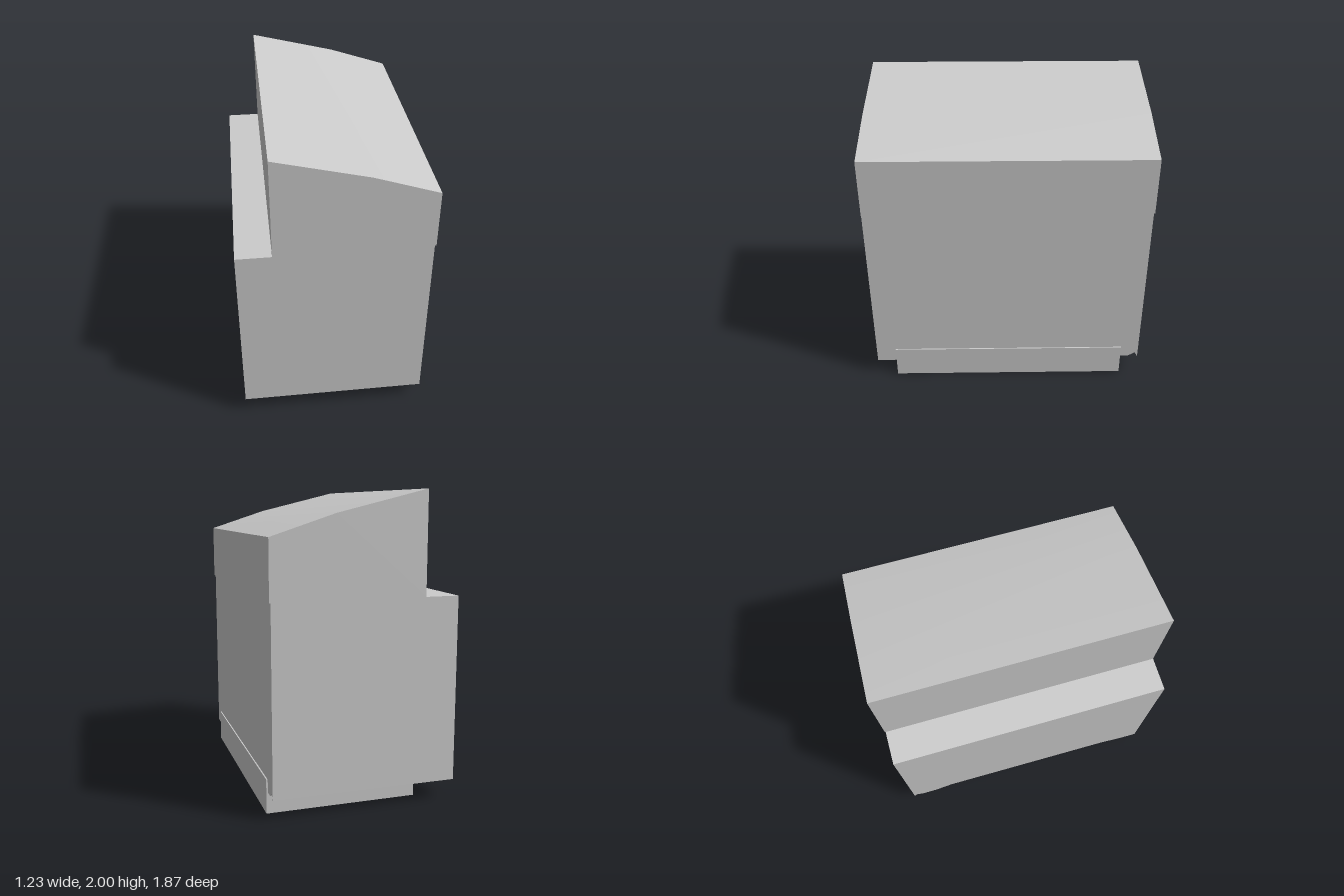
import * as THREE from 'three';
import { toCreasedNormals } from 'three/addons/utils/BufferGeometryUtils.js';

const grey = new THREE.MeshStandardMaterial({ color: 0xcccccc });

function prism(points, depth) {
  const shape = new THREE.Shape(points.map(([x, y]) => new THREE.Vector2(x, y)));
  return new THREE.ExtrudeGeometry(shape, { depth, bevelEnabled: false });
}

function addPart(group, name, geometry) {
  const mesh = new THREE.Mesh(toCreasedNormals(geometry, 0.3), grey);
  mesh.name = name;
  group.add(mesh);
}

export function createModel() {
  const group = new THREE.Group();
  group.name = 'cabinet';

  // Main body: side outline (z, y) with shaped feet, extruded across x
  const outline = [
    [0.935, 1.34], [0.935, 0.12], [0.82, 0.12], [0.74, 0.135], [0.65, 0.155],
    [-0.62, 0.18], [-0.69, 0.16], [-0.74, 0.138], [-0.86, 0.138],
    [-0.91, 0.17], [-0.93, 0.13], [-0.93, 1.34],
  ];
  const body = prism(outline.map(([z, y]) => [-z, y]), 1.215);
  body.rotateY(Math.PI / 2).translate(-0.615, 0, 0);
  addPart(group, 'body', body);

  // Sloping upper section, set back from the -x side
  const upper = prism([
    [-0.39, 1.34], [0.61, 1.34], [0.61, 1.72], [0.2, 1.855], [-0.39, 2],
  ], 1.87);
  upper.translate(0, 0, -0.935);
  addPart(group, 'slopedTop', upper);

  // Plinth with a thin lip rising over the +x face
  const plinth = prism([
    [-0.39, 0], [0.61, 0], [0.61, 0.225], [0.602, 0.225], [0.59, 0.19], [-0.39, 0.19],
  ], 1.605);
  plinth.translate(0, 0, -0.805);
  addPart(group, 'plinth', plinth);

  return group;
}
